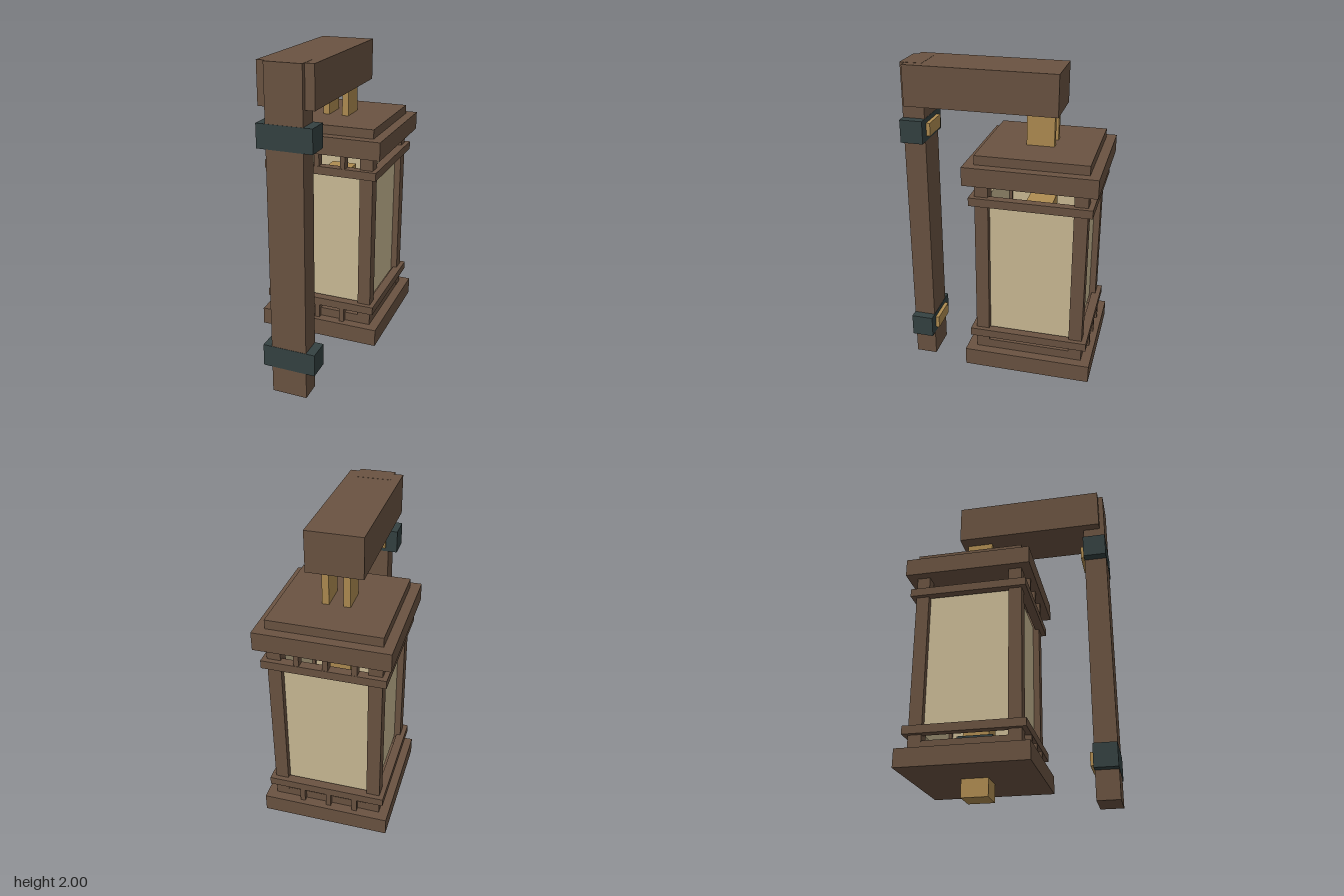
import * as THREE from 'three';

const mat = (name, color) => {
  const m = new THREE.MeshStandardMaterial({ color });
  m.name = name;
  return m;
};

export function createModel() {
  const wood = mat('brown wood', 0x6a5341);
  const paper = mat('cream paper', 0xcbbb95);
  const iron = mat('dark iron', 0x344141);
  const brass = mat('brass', 0xaf8c51);

  const model = new THREE.Group();
  model.name = 'wallLantern';

  // Box given by its min and max on each axis
  const box = (parent, name, material, [x0, x1], [y0, y1], [z0, z1]) => {
    const mesh = new THREE.Mesh(new THREE.BoxGeometry(x1 - x0, y1 - y0, z1 - z0), material);
    mesh.position.set((x0 + x1) / 2, (y0 + y1) / 2, (z0 + z1) / 2);
    mesh.name = name;
    parent.add(mesh);
    return mesh;
  };
  const span = (h) => [-h, h];
  // Range between two offsets, mirrored when s is -1
  const side = (s, a, b) => (s > 0 ? [a, b] : [-b, -a]);

  // Upright post and the arm on top
  box(model, 'uprightPost', wood, span(0.11), [0, 2], [0.475, 0.61]);
  box(model, 'arm', wood, span(0.165), [1.755, 1.999], [-0.335, 0.58]);

  // Clamps with brass plates behind
  for (const y of [0.24, 1.6]) {
    box(model, 'clamp', iron, span(0.165), [y - 0.07, y + 0.07], [0.473, 0.612]);
    box(model, 'clampPlate', brass, span(0.095), [y - 0.04, y + 0.04], [0.45, 0.475]);
  }

  // Lantern, centred on its own axis
  const lantern = new THREE.Group();
  lantern.name = 'lantern';
  lantern.position.z = -0.22;
  model.add(lantern);

  // Base and roof, each with a smaller step
  box(lantern, 'base', wood, span(0.388), [0.17, 0.28], span(0.388));
  box(lantern, 'baseStep', wood, span(0.329), [0.28, 0.335], span(0.329));
  box(lantern, 'roof', wood, span(0.388), [1.39, 1.5], span(0.388));
  box(lantern, 'roofStep', wood, span(0.33), [1.5, 1.555], span(0.33));

  // Brass foot, hanger plates and inner lamp
  box(lantern, 'foot', brass, span(0.082), [0.06, 0.17], span(0.082));
  box(lantern, 'lampSocket', iron, span(0.11), [0.335, 0.42], span(0.11));
  box(lantern, 'lamp', brass, span(0.08), [0.42, 1.2], span(0.08));

  for (const s of [1, -1]) {
    box(lantern, 'hangerPlate', brass, side(s, 0.042, 0.082), [1.555, 1.755], span(0.082));

    // Corner posts
    for (const t of [1, -1]) {
      box(lantern, 'cornerPost', wood, side(s, 0.25, 0.33), [0.28, 1.39], side(t, 0.25, 0.33));
    }

    // Paper panels
    box(lantern, 'panel', paper, span(0.25), [0.4, 1.275], side(s, 0.27, 0.29));
    box(lantern, 'sidePanel', paper, side(s, 0.27, 0.29), [0.4, 1.275], span(0.25));

    // Rails around the frame
    for (const y of [[0.37, 0.42], [1.255, 1.305]]) {
      box(lantern, 'rail', wood, span(0.358), y, side(s, 0.305, 0.36));
      box(lantern, 'sideRail', wood, side(s, 0.305, 0.358), y, span(0.305));
    }

    // Short struts on the front and back
    for (const x of [-0.18, -0.015, 0.15]) {
      for (const y of [[0.28, 0.37], [1.305, 1.39]]) {
        box(lantern, 'strut', wood, [x - 0.015, x + 0.015], y, side(s, 0.305, 0.358));
      }
    }
  }

  return model;
}
